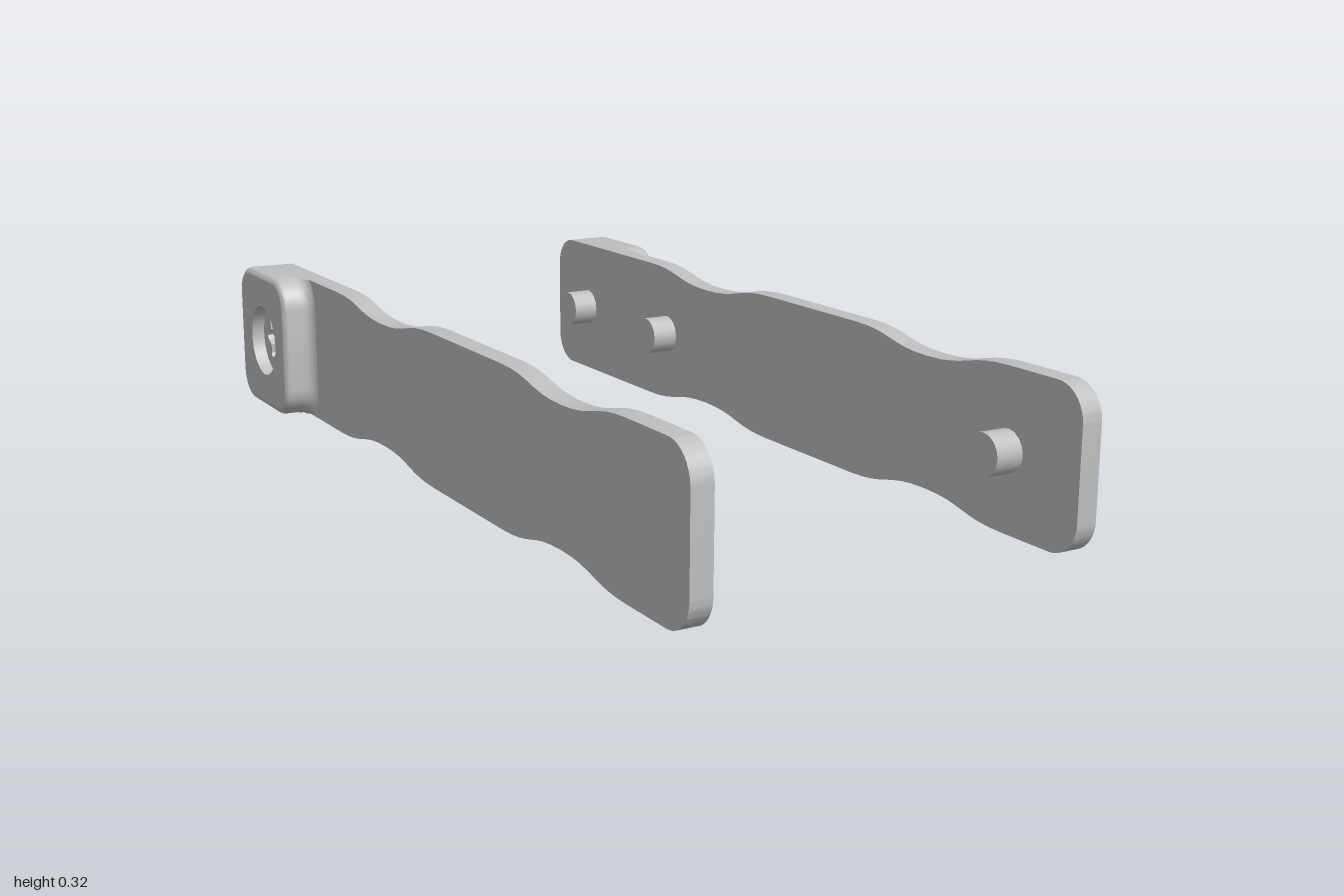
import * as THREE from 'three';
import { toCreasedNormals } from 'three/addons/utils/BufferGeometryUtils.js';

const H = 0.325, MID = H / 2;            // height and centre line of a scale
const X_IN = 0.385, X_PLATE = 0.43, X_HEAD = 0.498;
const HEAD_S = 0.69, SCREW_S = 0.84;     // s runs along the handle, s = -z

const steel = new THREE.MeshStandardMaterial({ color: 0xbfbfbf });
steel.name = 'grey';
steel.side = THREE.DoubleSide;

// Extrude a shape drawn in (s, y) from x0 to x1
function slab(name, shape, x0, x1, curveSegments = 8) {
  const geo = new THREE.ExtrudeGeometry(shape, { depth: x1 - x0, bevelEnabled: false, curveSegments });
  geo.rotateY(Math.PI / 2).translate(x0, 0, 0);
  const mesh = new THREE.Mesh(toCreasedNormals(geo, 0.5), steel);
  mesh.name = name;
  return mesh;
}

// Plate outline with two waists on each long edge
function plateShape() {
  const r = 0.07, dip = 0.028, shape = new THREE.Shape();
  const waists = [[-0.8, -0.32], [0, 0.52]];
  const edge = (y, inward, list) => {
    for (const [a, b] of list) {
      const m = (a + b) / 2, q = (b - a) / 4;
      shape.lineTo(a, y);
      shape.bezierCurveTo(a + q, y, m - q, y + inward, m, y + inward);
      shape.bezierCurveTo(m + q, y + inward, b - q, y, b, y);
    }
  };
  shape.moveTo(-1 + r, 0);
  edge(0, dip, waists);
  shape.lineTo(1 - r, 0);
  shape.absarc(1 - r, r, r, -Math.PI / 2, 0);
  shape.absarc(1 - r, H - r, r, 0, Math.PI / 2);
  edge(H, -dip, waists.map(([a, b]) => [b, a]).reverse());
  shape.absarc(-1 + r, H - r, r, Math.PI / 2, Math.PI);
  shape.absarc(-1 + r, r, r, Math.PI, Math.PI * 1.5);
  return shape;
}

// Rounded head outline as points with outward normals
function headOutline() {
  const r = 0.068, n = 7, pts = [];
  const corners = [[1 - r, r, -1], [1 - r, H - r, 0], [HEAD_S + r, H - r, 1], [HEAD_S + r, r, 2]];
  for (const [cs, cy, k] of corners) {
    for (let i = 0; i <= n; i++) {
      const a = (k + i / n) * Math.PI / 2, c = Math.cos(a), d = Math.sin(a);
      pts.push({ s: cs + r * c, y: cy + r * d, ns: c, ny: d });
    }
  }
  return pts;
}

const offsetPoint = (p, o) => {
  if (o > 0 && p.s > SCREW_S) o = 0;     // root fillet only on the inner end
  return [p.s + p.ns * o, THREE.MathUtils.clamp(p.y + p.ny * o, 0, H)];
};

// Head side wall: concave root fillet, straight wall, rounded rim
const RIM = 0.014, ROOT = 0.026;
function headWall(outline) {
  const profile = [], steps = 4;
  for (let i = 0; i <= steps; i++) {
    const a = i / steps * Math.PI / 2;
    profile.push([ROOT * (1 - Math.sin(a)), X_PLATE + ROOT * (1 - Math.cos(a))]);
  }
  for (let i = 0; i <= steps; i++) {
    const a = i / steps * Math.PI / 2;
    profile.push([-RIM * (1 - Math.cos(a)), X_HEAD - RIM * (1 - Math.sin(a))]);
  }
  const pos = [], idx = [], n = outline.length;
  for (const [o, x] of profile) {
    for (const p of outline) {
      const [s, y] = offsetPoint(p, o);
      pos.push(x, y, -s);
    }
  }
  for (let j = 0; j < profile.length - 1; j++) {
    for (let i = 0; i < n; i++) {
      const a = j * n + i, b = j * n + (i + 1) % n;
      idx.push(a, b, b + n, a, b + n, a + n);
    }
  }
  const geo = new THREE.BufferGeometry();
  geo.setAttribute('position', new THREE.Float32BufferAttribute(pos, 3));
  geo.setIndex(idx);
  const mesh = new THREE.Mesh(toCreasedNormals(geo, 0.6), steel);
  mesh.name = 'headWall';
  return mesh;
}

// Six-lobed driver socket
function starPath() {
  const pts = [];
  for (let i = 0; i < 36; i++) {
    const a = i / 36 * Math.PI * 2, r = 0.046 + 0.01 * Math.cos(6 * a);
    pts.push(new THREE.Vector2(SCREW_S + r * Math.cos(a), MID + r * Math.sin(a)));
  }
  return new THREE.Path(pts);
}

function makeScale(name) {
  const scale = new THREE.Group();
  scale.name = name;
  scale.add(slab('plate', plateShape(), X_IN, X_PLATE));

  // Head with a round recess for the screw
  const outline = headOutline();
  const face = new THREE.Shape(outline.map(p => new THREE.Vector2(...offsetPoint(p, -RIM))));
  face.holes.push(new THREE.Path().absarc(SCREW_S, MID, 0.083, 0, Math.PI * 2, true));
  scale.add(headWall(outline), slab('headFace', face, X_PLATE, X_HEAD, 16));

  // Screw set below the face
  const screw = new THREE.Shape().absarc(SCREW_S, MID, 0.083, 0, Math.PI * 2);
  screw.holes.push(starPath());
  scale.add(slab('screw', screw, X_PLATE, 0.468, 16));

  // Locating pegs on the inner face
  for (const z of [-0.84, -0.44, 0.805]) {
    const peg = new THREE.Mesh(new THREE.CylinderGeometry(0.043, 0.043, 0.07, 16), steel);
    peg.name = 'peg';
    peg.rotation.z = Math.PI / 2;
    peg.position.set(0.36, MID, z);
    scale.add(peg);
  }
  return scale;
}

export function createModel() {
  const model = new THREE.Group();
  model.name = 'handleScales';
  const left = makeScale('leftScale');
  // The scale is symmetric top to bottom, so a half turn gives the other side
  const right = makeScale('rightScale');
  right.rotation.z = Math.PI;
  right.position.y = H;
  model.add(left, right);
  return model;
}
